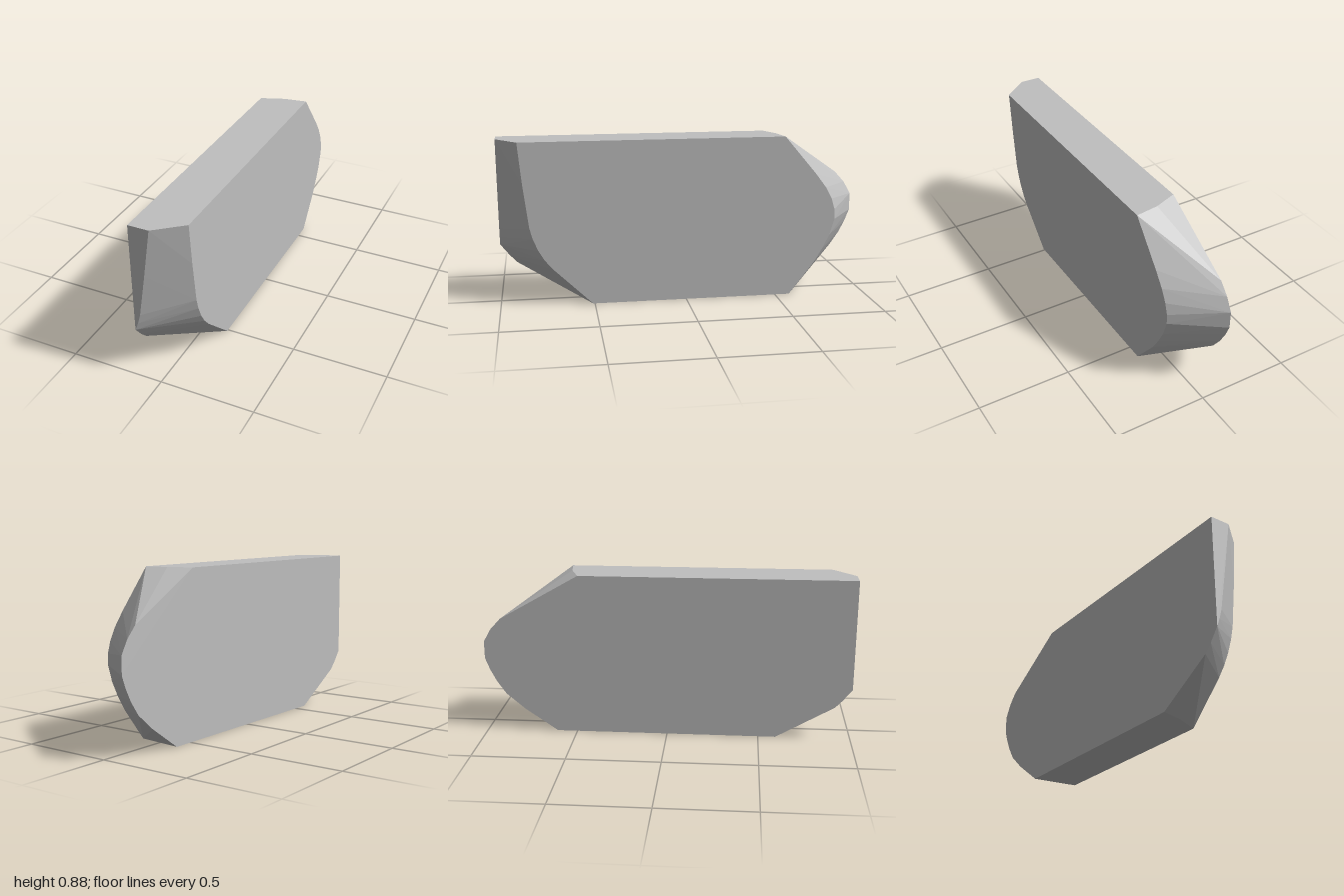
import * as THREE from 'three';
import { ConvexGeometry } from 'three/addons/geometries/ConvexGeometry.js';

const HALF = 0.125;

// Side outlines as [z, y] pairs, front top round the bottom to back top
const wideSide = [
  [1, 0.885], [1, 0.285], [0.95, 0.222], [0.91, 0.18], [0.595, 0],
  [-0.61, 0], [-0.79, 0.125], [-0.89, 0.21], [-0.94, 0.282], [-0.975, 0.35],
  [-1, 0.415], [-1, 0.51], [-0.96, 0.58], [-0.905, 0.64], [-0.475, 0.885],
];
const narrowSide = [
  [0.885, 0.885], [0.864, 0.66], [0.836, 0.43], [0.82, 0.37], [0.793, 0.305],
  [0.76, 0.25], [0.718, 0.2], [0.51, 0],
  [-0.58, 0], [-0.718, 0.177], [-0.765, 0.255], [-0.802, 0.33], [-0.83, 0.42],
  [-0.828, 0.475], [-0.81, 0.535], [-0.775, 0.6], [-0.718, 0.675], [-0.54, 0.885],
];

// Edge where the flat nose meets the bevel, as [x, y] pairs at z = 1
const noseEdge = [[-0.015, 0.885], [-0.055, 0.62], [-0.093, 0.385], [-0.108, 0.33]];

// Slight bow of the top and bottom ends, as [x, y, z]
const bowedEnds = [[0, 0.885, -0.522], [0, 0, 0.565]];

export function createModel() {
  const group = new THREE.Group();
  group.name = 'bevelledBlock';

  const grey = new THREE.MeshStandardMaterial({ color: 0xbfbfbf });
  grey.name = 'grey';

  // Slab skinned between the two outlines
  const points = [
    ...wideSide.map(([z, y]) => new THREE.Vector3(-HALF, y, z)),
    ...narrowSide.map(([z, y]) => new THREE.Vector3(HALF, y, z)),
    ...noseEdge.map(([x, y]) => new THREE.Vector3(x, y, 1)),
    ...bowedEnds.map((p) => new THREE.Vector3(...p)),
  ];
  const body = new THREE.Mesh(new ConvexGeometry(points), grey);
  body.name = 'body';
  group.add(body);
  return group;
}
